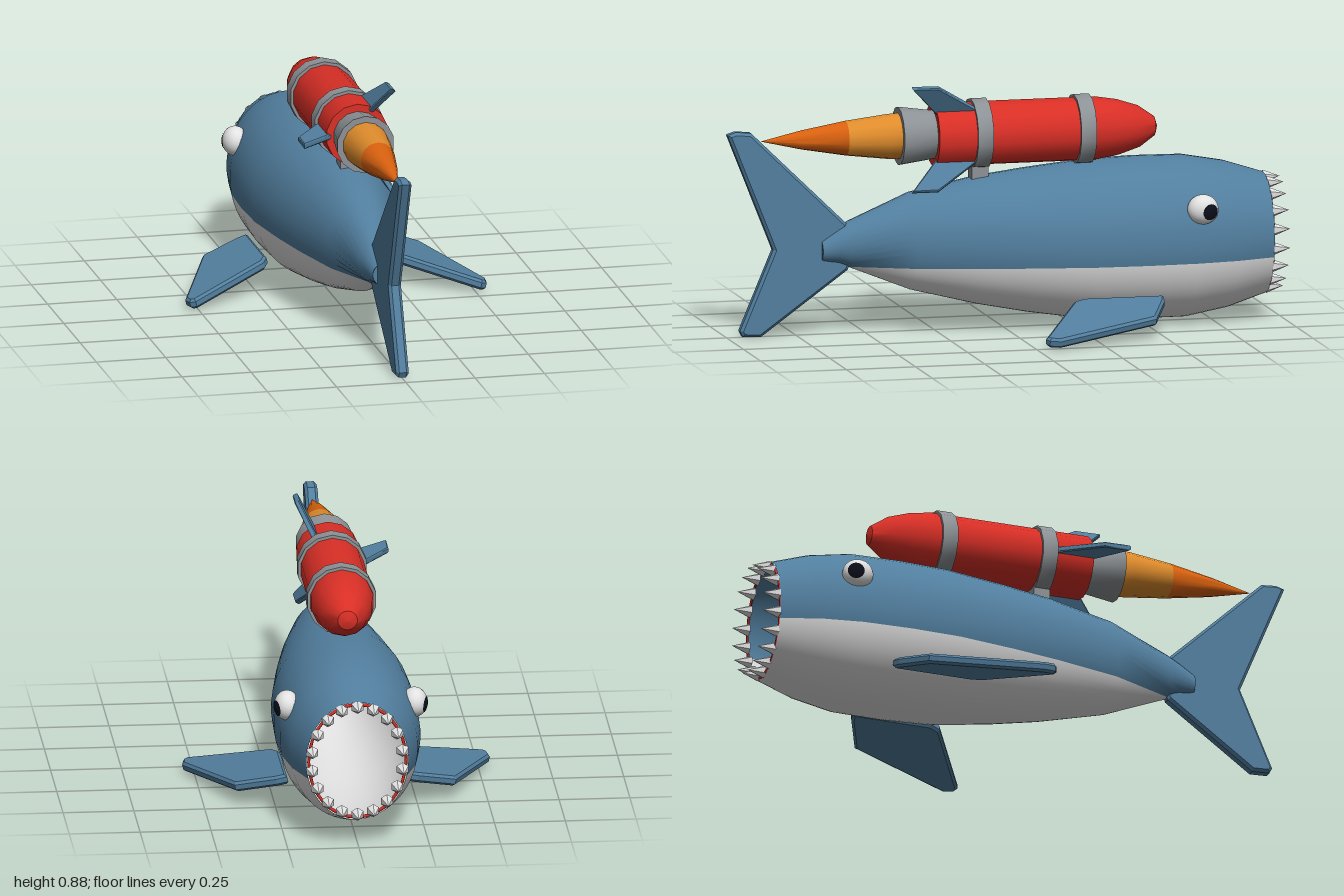
import * as THREE from 'three';
import { toCreasedNormals } from 'three/addons/utils/BufferGeometryUtils.js';

const mat = (name, color, side = THREE.FrontSide) => {
  const m = new THREE.MeshStandardMaterial({ color, side });
  m.name = name;
  return m;
};

export function createModel() {
  const root = new THREE.Group();
  root.name = 'rocketShark';
  const blue = mat('sharkBlue', 0x527f9f, THREE.DoubleSide);
  const white = mat('bellyWhite', 0xe2e2e2, THREE.DoubleSide);
  const red = mat('rocketRed', 0xd92f26);
  const grey = mat('metalGrey', 0x8d9296);
  const orange = mat('flameOrange', 0xdf8c2c);
  const deepOrange = mat('flameDeepOrange', 0xd9610f);
  const black = mat('pupilBlack', 0x0c0e1a);

  const add = (name, geo, material, parent = root) => {
    const m = new THREE.Mesh(geo, material);
    m.name = name;
    parent.add(m);
    return m;
  };

  // Body stations: z, half width, top y, bottom y
  const stations = [
    [0.66, 0.04, 0.352, 0.27], [0.6, 0.055, 0.39, 0.262], [0.56, 0.066, 0.412, 0.248],
    [0.34, 0.13, 0.505, 0.16], [0.1, 0.185, 0.553, 0.1], [-0.08, 0.218, 0.575, 0.065],
    [-0.29, 0.248, 0.596, 0.033], [-0.47, 0.254, 0.602, 0.025], [-0.65, 0.248, 0.6, 0.026],
    [-0.8, 0.225, 0.573, 0.053], [-0.94, 0.18, 0.528, 0.098],
  ].map(([z, rx, top, bot]) => ({ z, rx, ry: (top - bot) / 2, c: (top + bot) / 2 }));
  const SEAM = 0.25;

  // Skin strip above (or below) the colour seam, with smooth normals
  function skin(upper) {
    const pos = [], nor = [], idx = [], n = 24;
    stations.forEach((s, i) => {
      const p = stations[Math.max(i - 1, 0)], q = stations[Math.min(i + 1, stations.length - 1)];
      const d = (k) => (q[k] - p[k]) / (q.z - p.z);
      const a = Math.asin(THREE.MathUtils.clamp((SEAM - s.c) / s.ry, -1, 1));
      const [from, to] = upper ? [a, Math.PI - a] : [Math.PI - a, 2 * Math.PI + a];
      for (let j = 0; j <= n; j++) {
        const t = from + (to - from) * j / n, co = Math.cos(t), si = Math.sin(t);
        pos.push(s.rx * co, s.c + s.ry * si, s.z);
        const v = new THREE.Vector3(co / s.rx, si / s.ry,
          -(co * co * d('rx') / s.rx + si * si * d('ry') / s.ry + si * d('c') / s.ry)).normalize();
        nor.push(v.x, v.y, v.z);
        if (i && j < n) {
          const B = i * (n + 1) + j, A = B - n - 1;
          idx.push(A, B, A + 1, A + 1, B, B + 1);
        }
      }
    });
    const g = new THREE.BufferGeometry();
    g.setAttribute('position', new THREE.Float32BufferAttribute(pos, 3));
    g.setAttribute('normal', new THREE.Float32BufferAttribute(nor, 3));
    g.setIndex(idx);
    return g;
  }
  add('back', skin(true), blue);
  add('belly', skin(false), white);
  add('tailStump', new THREE.CircleGeometry(0.04, 16), blue).position.set(0, 0.311, 0.66);

  // Mouth rim and teeth
  const gum = add('gum', new THREE.TorusGeometry(1, 0.03, 6, 32), red);
  gum.scale.set(0.172, 0.207, 0.15);
  gum.position.set(0, 0.313, -0.938);
  const teeth = new THREE.Group();
  teeth.name = 'teeth';
  root.add(teeth);
  for (let i = 0; i < 18; i++) {
    const t = (i + 0.5) / 18 * Math.PI * 2;
    const g = toCreasedNormals(new THREE.ConeGeometry(0.024, 0.062, 6), 0.4).rotateX(-Math.PI / 2);
    add('tooth', g, white, teeth).position.set(0.162 * Math.cos(t), 0.313 + 0.197 * Math.sin(t), -0.969);
  }

  // Bevelled plate from an outline, centred on its thickness
  function plate(points, thick, bevel) {
    const shape = new THREE.Shape(points.map(([x, y]) => new THREE.Vector2(x, y)));
    const depth = thick - 2 * bevel;
    return new THREE.ExtrudeGeometry(shape, {
      depth, bevelEnabled: true, bevelThickness: bevel, bevelSize: bevel, bevelOffset: -bevel, bevelSegments: 1,
    }).translate(0, 0, -depth / 2);
  }

  // Tail fin, outline in (z, y)
  const tail = [[1.0, 0.735], [0.97, 0.745], [0.915, 0.74], [0.57, 0.405], [0.54, 0.32],
    [0.565, 0.24], [0.88, 0.012], [0.945, 0.015], [0.955, 0.035], [0.835, 0.32]];
  add('tailFin', plate(tail, 0.046, 0.01).rotateY(-Math.PI / 2), blue);

  // Eyes and side fins, mirrored
  for (const s of [1, -1]) {
    const fin = [[0, -0.53], [0.04, -0.523], [0.185, -0.46], [0.342, -0.08], [0.335, -0.04],
      [0.315, -0.03], [0.02, -0.2], [0, -0.24]].map(([x, z]) => [x * s, z]);
    const f = add('sideFin', plate(fin, 0.036, 0.009).rotateX(Math.PI / 2), blue);
    f.position.set(0.21 * s, 0.123, 0);
    f.rotation.z = -0.26 * s;

    const eye = new THREE.Group();
    eye.name = 'eye';
    eye.position.set(0.225 * s, 0.44, -0.668);
    eye.scale.set(0.046, 0.053, 0.056);
    root.add(eye);
    add('eyeball', new THREE.SphereGeometry(1, 20, 14), white, eye);
    const pupil = add('pupil', new THREE.SphereGeometry(1.03, 16, 5, 0, Math.PI * 2, 0, 0.56), black, eye);
    pupil.quaternion.setFromUnitVectors(new THREE.Vector3(0, 1, 0),
      new THREE.Vector3(0.9 * s, -0.1, -0.38).normalize());
  }

  // Rocket, turned around the z axis; profiles are (radius, z)
  const rocket = new THREE.Group();
  rocket.name = 'rocket';
  rocket.position.y = 0.707;
  root.add(rocket);
  const turned = (name, profile, material) => add(name, toCreasedNormals(
    new THREE.LatheGeometry(profile.map(([r, z]) => new THREE.Vector2(r, z)), 14), 0.6)
    .rotateX(Math.PI / 2), material, rocket);
  turned('rocketBody', [[0, -0.557], [0.035, -0.545], [0.075, -0.487], [0.1, -0.41], [0.113, -0.33],
    [0.113, 0.255], [0, 0.255]], red);
  for (const z of [-0.283, 0.09]) {
    turned('strap', [[0.1, z - 0.028], [0.124, z - 0.028], [0.124, z + 0.028], [0.1, z + 0.028]], grey);
    add('mount', new THREE.BoxGeometry(0.06, 0.1, 0.06), grey, rocket).position.set(0, -0.135, z);
  }
  turned('nozzle', [[0.086, 0.25], [0.104, 0.38], [0, 0.38]], grey);
  turned('flame', [[0.082, 0.375], [0.08, 0.42], [0.062, 0.57]], orange);
  turned('flameTip', [[0.062, 0.57], [0.034, 0.73], [0, 0.878]], deepOrange);

  // Three rocket fins, outline in (radius, z)
  const rocketFin = [[0.09, 0.08], [0.215, 0.26], [0.215, 0.355], [0.09, 0.25]];
  for (const a of [Math.PI / 3, Math.PI, -Math.PI / 3]) {
    const f = add('rocketFin', plate(rocketFin, 0.02, 0.004).rotateX(Math.PI / 2), blue, rocket);
    f.rotation.z = a;
  }
  return root;
}
